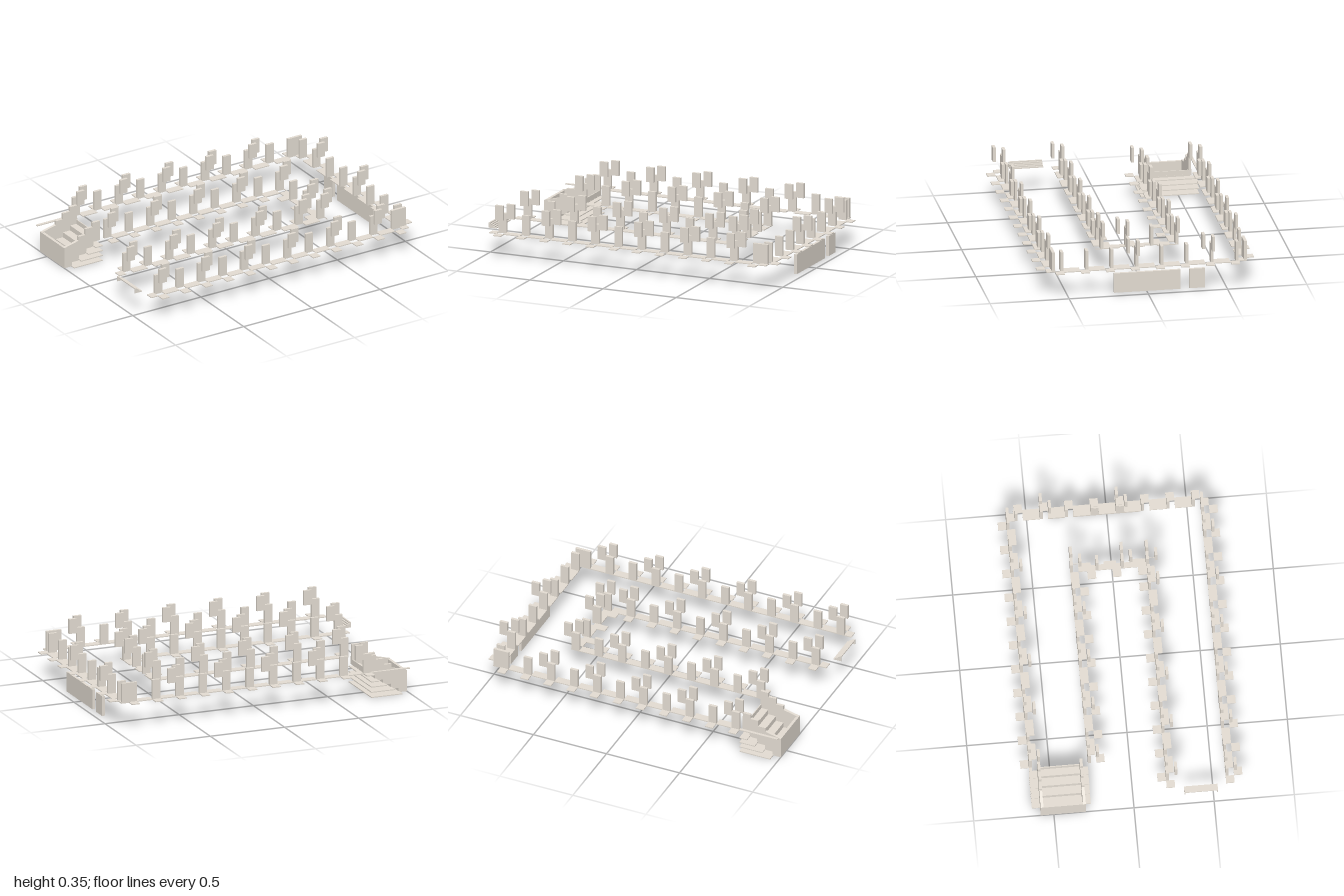
import * as THREE from 'three';

const C = 0.0527;        // grid cell
const T = 0.018;         // panel thickness
const P = 3 * C;         // spacing of repeated bays
const FLOOR = 0.163;
const TOP = 0.35;

export function createModel() {
  const root = new THREE.Group();
  const mat = new THREE.MeshStandardMaterial({ color: 0xe3dcd2, flatShading: true });

  // box from its minimum and maximum corners
  function box(parent, name, x0, x1, y0, y1, z0, z1) {
    const m = new THREE.Mesh(new THREE.BoxGeometry(x1 - x0, y1 - y0, z1 - z0), mat);
    m.position.set((x0 + x1) / 2, (y0 + y1) / 2, (z0 + z1) / 2);
    m.name = name;
    parent.add(m);
  }
  const tile = (g, name, x0, x1, z0, z1) => box(g, name, x0, x1, FLOOR - 0.003, FLOOR + 0.003, z0, z1);
  function group(name) {
    const g = new THREE.Group();
    g.name = name;
    root.add(g);
    return g;
  }

  // battlement bay: low post, optionally with raised back and front panels
  function bay(g, x, z, raised) {
    box(g, 'post', x, x + C, FLOOR, 0.29, z, z + T);
    if (!raised) return;
    box(g, 'backPanel', x + C, x + 2 * C, 0.255, TOP, z, z + T);
    box(g, 'frontPanel', x, x + C, 0.255, TOP, z + C, z + C + T);
  }

  // long walkway: continuous edge, floor tiles with gaps, projecting tiles;
  // every second bay is raised
  function walkway(name, z, first, count, xStart, xEnd, side, bays) {
    const g = group(name);
    tile(g, 'floorEdge', xStart, xEnd, z, z + T);
    let x = xStart;
    for (let k = 0; k < count; k++) {
      const bx = first + k * P;
      if (bx > x + 0.005) tile(g, 'floorTile', x, bx, z + T, z + C);
      const bz = side > 0 ? z + C : z - C;
      tile(g, 'projectingTile', bx, bx + C, bz, bz + C);
      x = bx + C;
      if (k < bays) bay(g, bx, z, k % 2 === 0);
    }
    if (xEnd > x) tile(g, 'floorTile', x, xEnd, z + T, z + C);
    return g;
  }

  const X0 = -0.898;
  const back = walkway('backWalkway', -0.633, X0 + P, 11, -0.74, 0.945, -1, 10);
  walkway('innerBackWalkway', -0.265, X0 + P, 9, -0.74, 0.58, 1, 9);
  walkway('innerFrontWalkway', 0.209, X0, 10, -0.947, 0.58, -1, 9);
  const front = walkway('frontWalkway', 0.58, X0, 12, -0.947, 0.945, 1, 11);

  // wide corner panels
  box(back, 'cornerPanel', 0.84, 0.942, FLOOR, 0.29, -0.633, -0.633 + T);
  box(front, 'cornerPanel', 0.84, 0.942, FLOOR, 0.29, 0.58, 0.58 + T);

  // end walkway, crossing the long ones
  const end = group('endWalkway');
  tile(end, 'floorEdge', 0.945, 0.963, -0.585, 0.58);
  for (let k = 0; k < 8; k++) {
    const z = 0.527 - k * P;
    tile(end, 'projectingTile', 0.945, 1, z, z + C);
    if (k < 7) tile(end, 'floorTile', 0.893, 0.945, z - 2 * C, z);
    bay(end, 0.893, z, k === 3 || k === 6);
  }

  // short link between the inner walkways
  const link = group('linkWalkway');
  tile(link, 'floorStrip', 0.525, 0.562, -0.21, 0.209);
  for (let k = 0; k < 3; k++) {
    const z = 0.21 - C - k * P;
    tile(link, 'projectingTile', 0.472, 0.525, z, z + C);
    tile(link, 'floorTile', 0.562, 0.58, z - C, z + C / 2);
  }
  bay(link, 0.527, 0.209, true);
  bay(link, 0.527, 0.052, true);
  bay(link, 0.527, -0.106, false);

  // hanging panels under the end walkway
  const hanging = group('hangingPanels');
  box(hanging, 'widePanel', 0.945, 0.963, 0.008, 0.135, -0.21, 0.21);
  box(hanging, 'narrowPanel', 0.945, 0.963, 0.008, 0.135, -0.365, -0.265);

  // staircase: stepped side walls, treads, shelves beneath and end wall
  const stairs = group('staircase');
  const side = new THREE.Shape();
  side.moveTo(-1, 0);
  side.lineTo(-0.95, 0);
  for (let k = 1; k <= 4; k++) {
    side.lineTo(-0.95 + C * (k - 1), 0.0335 * k);
    side.lineTo(-0.95 + C * k, 0.0335 * k);
  }
  side.lineTo(-0.74, 0.26);
  side.lineTo(-0.792, 0.26);
  side.lineTo(-0.792, 0.23);
  side.lineTo(-0.845, 0.23);
  side.lineTo(-0.845, 0.19);
  side.lineTo(-0.895, 0.19);
  side.lineTo(-0.895, FLOOR);
  side.lineTo(-1, FLOOR - 0.025);
  for (const z of [-0.582, -0.318]) {
    const m = new THREE.Mesh(new THREE.ExtrudeGeometry(side, { depth: T, bevelEnabled: false }), mat);
    m.position.z = z;
    m.name = 'sideWall';
    stairs.add(m);
  }
  box(stairs, 'endWall', -1, -0.982, 0, 0.137, -0.582, -0.3);
  box(stairs, 'bottomFloor', -0.982, -0.95, 0, 0.006, -0.582, -0.3);
  for (let k = 0; k < 4; k++) {
    const y = 0.0335 * k;
    const x = -0.95 + C * k;
    box(stairs, 'shelf', x, -0.74, y, y + 0.006, -0.633, -0.265);
    box(stairs, 'tread', x, x + C, y + 0.0275, y + 0.0335, -0.582, -0.3);
    box(stairs, 'riser', x, x + 0.006, y, y + 0.0335, -0.582, -0.3);
  }
  box(stairs, 'topRiser', -0.746, -0.74, 0.134, FLOOR, -0.582, -0.3);
  box(stairs, 'landingEdge', -1, -0.74, FLOOR - 0.003, FLOOR + 0.003, -0.633, -0.615);

  // small stepped flight on the open end, between two wedge cheeks
  const flight = group('slattedFlight');
  for (let k = 0; k < 5; k++) {
    const x = -1 + 0.0105 * k;
    const y = 0.19 - 0.007 * k;
    box(flight, 'step', x, x + 0.0105, y, y + 0.007, 0.315, 0.525);
  }
  const wedge = new THREE.Shape([[-1, 0.163], [-0.95, 0.163], [-1, 0.192]].map(p => new THREE.Vector2(...p)));
  for (const z of [0.315, 0.519]) {
    const m = new THREE.Mesh(new THREE.ExtrudeGeometry(wedge, { depth: 0.006, bevelEnabled: false }), mat);
    m.position.z = z;
    m.name = 'cheek';
    flight.add(m);
  }
  return root;
}
